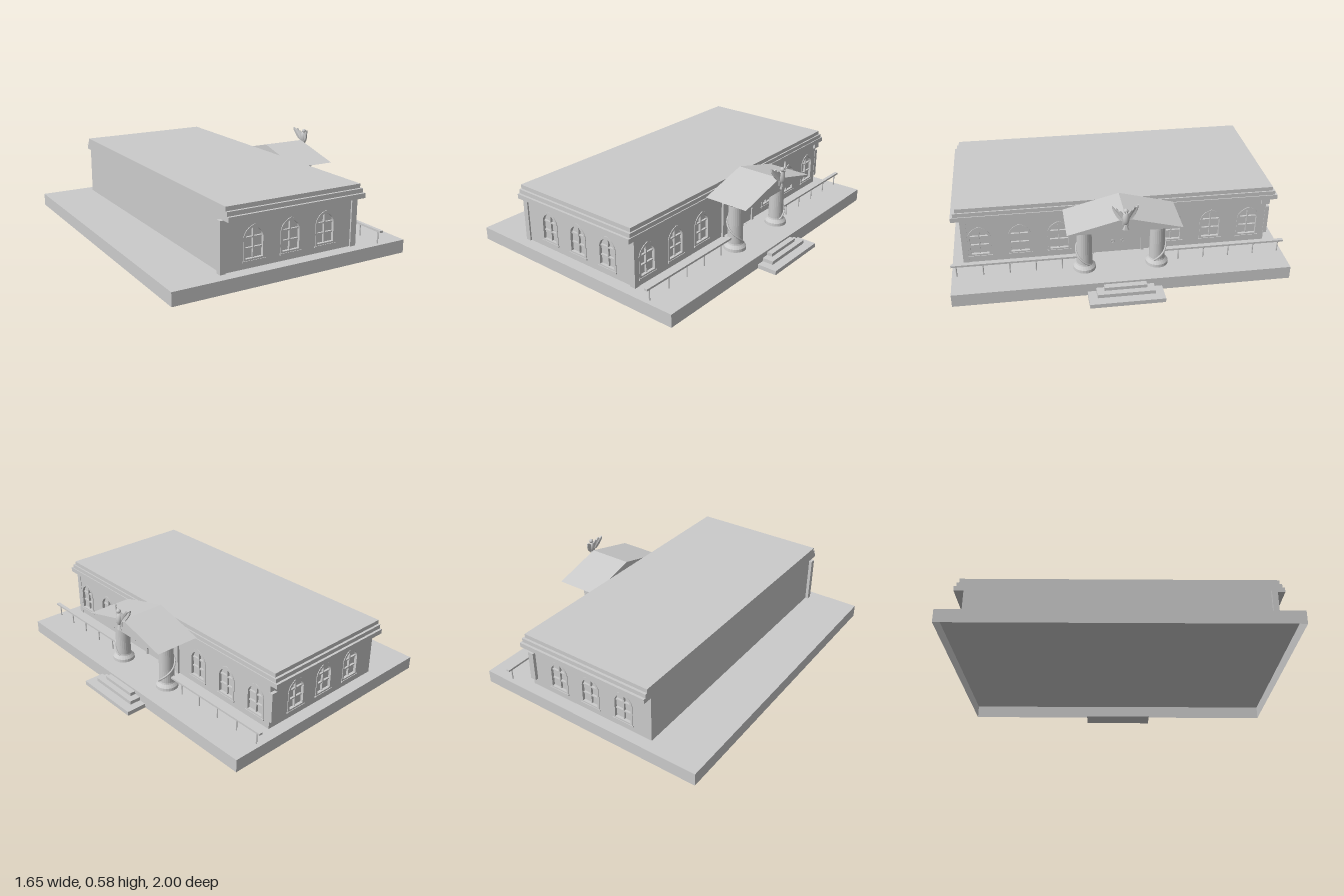
import * as THREE from 'three';

const grey = new THREE.MeshStandardMaterial({ color: 0xcccccc, side: THREE.DoubleSide });
const flat = new THREE.MeshStandardMaterial({ color: 0xcccccc, side: THREE.DoubleSide, flatShading: true });

function add(parent, name, geometry, material = grey) {
  const mesh = new THREE.Mesh(geometry, material);
  mesh.name = name;
  parent.add(mesh);
  return mesh;
}

// Box given by its limits on each axis
function block(parent, name, x0, x1, y0, y1, z0, z1) {
  const mesh = add(parent, name, new THREE.BoxGeometry(x1 - x0, y1 - y0, z1 - z0));
  mesh.position.set((x0 + x1) / 2, (y0 + y1) / 2, (z0 + z1) / 2);
  return mesh;
}

// Pointed arch outline: c centre, w half width, y0 foot, ys spring, y1 tip
function arch(path, c, w, y0, ys, y1) {
  path.moveTo(c - w, y0);
  path.lineTo(c + w, y0);
  path.lineTo(c + w, ys);
  path.quadraticCurveTo(c + w * 0.9, ys + (y1 - ys) * 0.7, c, y1);
  path.quadraticCurveTo(c - w * 0.9, ys + (y1 - ys) * 0.7, c - w, ys);
  path.closePath();
  return path;
}

const extrude = (shape, depth) =>
  new THREE.ExtrudeGeometry(shape, { depth, bevelEnabled: false, curveSegments: 8 });

// Low, softly pointed door outline
function doorOutline(path, w, y0, ys, y1) {
  path.moveTo(-w, y0);
  path.lineTo(w, y0);
  path.lineTo(w, ys - 0.03);
  path.quadraticCurveTo(w, ys, w - 0.03, ys + 0.004);
  path.quadraticCurveTo(w * 0.4, y1 - 0.006, 0, y1);
  path.quadraticCurveTo(-w * 0.4, y1 - 0.006, -w + 0.03, ys + 0.004);
  path.quadraticCurveTo(-w, ys, -w, ys - 0.03);
  path.closePath();
  return path;
}

// Wall pierced by arched windows; its outer face lies at local z = 0
function windowWall(name, x0, x1, centres) {
  const wall = new THREE.Group();
  wall.name = name;
  const shape = new THREE.Shape();
  shape.moveTo(x0, 0.08);
  shape.lineTo(x1, 0.08);
  shape.lineTo(x1, 0.376);
  shape.lineTo(x0, 0.376);
  shape.closePath();
  for (const c of centres) {
    shape.holes.push(arch(new THREE.Path(), c, 0.068, 0.122, 0.255, 0.325));
    const frame = arch(new THREE.Shape(), c, 0.068, 0.122, 0.255, 0.325);
    frame.holes.push(arch(new THREE.Path(), c, 0.055, 0.135, 0.252, 0.31));
    add(wall, 'windowFrame', extrude(frame, 0.018)).position.z = -0.014;
    block(wall, 'windowMullion', c - 0.004, c + 0.004, 0.135, 0.31, -0.02, -0.006);
    for (const y of [0.19, 0.25]) {
      block(wall, 'windowBar', c - 0.055, c + 0.055, y - 0.004, y + 0.004, -0.02, -0.007);
    }
    block(wall, 'windowSill', c - 0.072, c + 0.072, 0.115, 0.125, -0.02, 0.008);
  }
  add(wall, 'wallPanel', extrude(shape, 0.02)).position.z = -0.02;
  return wall;
}

// Winding ornament climbing a column
function vine(parent, side) {
  const points = [];
  for (let i = 0; i <= 16; i++) {
    const t = i / 16;
    const a = -0.5 + t * 4.6;
    const r = 0.05 + (i === 16 ? 0.01 : 0);
    points.push(new THREE.Vector3(Math.cos(a) * r, 0.12 + 0.2 * t, side * Math.sin(a) * r));
  }
  const curve = new THREE.CatmullRomCurve3(points);
  add(parent, 'columnVine', new THREE.TubeGeometry(curve, 48, 0.006, 6));
  const tip = add(parent, 'vineTip', new THREE.SphereGeometry(0.01, 8, 6));
  tip.position.copy(points[16]);
}

// Bird with raised wings on the gable point
function bird() {
  const g = new THREE.Group();
  g.name = 'gableBird';
  const body = add(g, 'birdBody', new THREE.SphereGeometry(1, 10, 8));
  body.scale.set(0.018, 0.042, 0.02);
  body.position.set(0.695, 0.51, 0);
  body.rotation.z = 0.15;
  const head = add(g, 'birdHead', new THREE.SphereGeometry(0.014, 10, 8));
  head.position.set(0.697, 0.557, 0);
  const beak = add(g, 'birdBeak', new THREE.ConeGeometry(0.006, 0.018, 6));
  beak.position.set(0.712, 0.554, 0);
  beak.rotation.z = -Math.PI / 2 - 0.3;
  const tail = add(g, 'birdTail', new THREE.ConeGeometry(0.02, 0.05, 6), flat);
  tail.position.set(0.7, 0.462, 0);
  tail.scale.x = 0.5;
  const outline = [[0.008, 0.485], [0.04, 0.5], [0.055, 0.52], [0.072, 0.553], [0.074, 0.576],
    [0.058, 0.562], [0.05, 0.57], [0.04, 0.552], [0.03, 0.556], [0.01, 0.53]];
  for (const side of [-1, 1]) {
    const wing = add(g, 'birdWing', extrude(new THREE.Shape(outline.map(p => new THREE.Vector2(...p))), 0.008), flat);
    const p = wing.geometry.attributes.position;
    // Turn the wing across the gable and sweep its tip backwards
    for (let i = 0; i < p.count; i++) {
      const w = p.getX(i);
      p.setXYZ(i, 0.69 + p.getZ(i) - w * w * 5, p.getY(i), side * w);
    }
    wing.geometry.computeVertexNormals();
    const foot = add(g, 'birdFoot', new THREE.CylinderGeometry(0.006, 0.004, 0.04, 6));
    foot.position.set(0.688, 0.475, side * 0.012);
  }
  return g;
}

export function createModel() {
  const model = new THREE.Group();
  model.name = 'columnedHall';

  // Terrace: a shell that is open underneath
  const terrace = block(model, 'terrace', -0.83, 0.7, 0, 0.08, -1, 1);
  const faces = Array.from(terrace.geometry.index.array);
  faces.splice(18, 6);
  terrace.geometry.setIndex(faces);

  // Entrance steps
  [[0.825, 0, 0.026, 0.22], [0.77, 0.026, 0.048, 0.17], [0.735, 0.048, 0.068, 0.125]].forEach(
    ([x, y0, y1, z]) => block(model, 'entranceStep', 0.68, x, y0, y1, -z, z));

  // Hall body, with window walls on three sides and a plain back
  block(model, 'hallCore', -0.495, 0.365, 0.08, 0.376, -0.905, 0.905);
  const sideCentres = [-0.3, -0.063, 0.172];
  const leftWall = windowWall('sideWall', -0.495, 0.365, sideCentres);
  leftWall.position.z = 0.925;
  const rightWall = windowWall('sideWall', -0.365, 0.495, sideCentres.map(c => -c));
  rightWall.rotation.y = Math.PI;
  rightWall.position.z = -0.925;
  const entranceWall = windowWall('entranceWall', -0.925, 0.925, [-0.83, -0.59, -0.355, 0.335, 0.58, 0.815]);
  entranceWall.rotation.y = Math.PI / 2;
  entranceWall.position.x = 0.385;
  model.add(leftWall, rightWall, entranceWall);

  // Corner pilasters
  block(model, 'cornerPilaster', -0.515, -0.48, 0.08, 0.376, 0.9, 0.935);
  block(model, 'cornerPilaster', 0.35, 0.388, 0.08, 0.376, 0.9, 0.935);
  block(model, 'cornerPilaster', 0.35, 0.388, 0.13, 0.32, -0.945, -0.92);
  block(model, 'cornerBracket', 0.36, 0.4, 0.345, 0.376, -0.94, -0.89);

  // Stepped cornice and flat roof, flush at the back
  block(model, 'corniceLower', -0.495, 0.4, 0.376, 0.405, -0.985, 0.985);
  block(model, 'corniceMiddle', -0.495, 0.394, 0.405, 0.43, -0.97, 0.97);
  block(model, 'flatRoof', -0.495, 0.385, 0.43, 0.455, -0.955, 0.955);

  // Main door
  const door = new THREE.Group();
  door.name = 'mainDoor';
  door.rotation.y = Math.PI / 2;
  door.position.x = 0.383;
  const frame = doorOutline(new THREE.Shape(), 0.162, 0.08, 0.325, 0.348);
  frame.holes.push(doorOutline(new THREE.Path(), 0.145, 0.0801, 0.308, 0.331));
  add(door, 'doorFrame', extrude(frame, 0.016));
  add(door, 'doorLeaves', extrude(doorOutline(new THREE.Shape(), 0.146, 0.08, 0.309, 0.332), 0.006));
  block(door, 'doorSeam', -0.002, 0.002, 0.08, 0.33, 0.005, 0.008);
  for (const s of [-1, 1]) {
    const ring = add(door, 'doorHandle', new THREE.TorusGeometry(0.01, 0.002, 6, 16));
    ring.position.set(s * 0.03, 0.155, 0.009);
  }
  model.add(door);

  // Porch gable
  const gable = new THREE.Shape();
  gable.moveTo(-0.33, 0.408);
  gable.lineTo(0.335, 0.408);
  gable.lineTo(0.005, 0.495);
  gable.closePath();
  const porch = add(model, 'porchRoof', extrude(gable, 0.285), flat);
  porch.rotation.y = Math.PI / 2;
  porch.position.x = 0.392;
  model.add(bird());

  // Columns with vines, and the railings beside them
  const profile = [[0, 0], [0.068, 0], [0.066, 0.018], [0.05, 0.036], [0.047, 0.045], [0.044, 0.285],
    [0.05, 0.292], [0.068, 0.312], [0.072, 0.328], [0, 0.328]].map(p => new THREE.Vector2(...p));
  for (const s of [-1, 1]) {
    const column = new THREE.Group();
    column.name = 'porchColumn';
    column.position.set(0.53, 0, s * 0.218);
    add(column, 'columnShaft', new THREE.LatheGeometry(profile, 24), flat).position.y = 0.08;
    vine(column, s);
    model.add(column);

    block(model, 'handrail', 0.513, 0.535, 0.152, 0.164, Math.min(s * 0.25, s), Math.max(s * 0.25, s));
    for (let i = 0; i < 5; i++) {
      const post = add(model, 'railPost', new THREE.CylinderGeometry(0.004, 0.004, 0.074, 8));
      post.position.set(0.524, 0.117, s * (0.97 - i * 0.155));
    }
  }
  return model;
}
